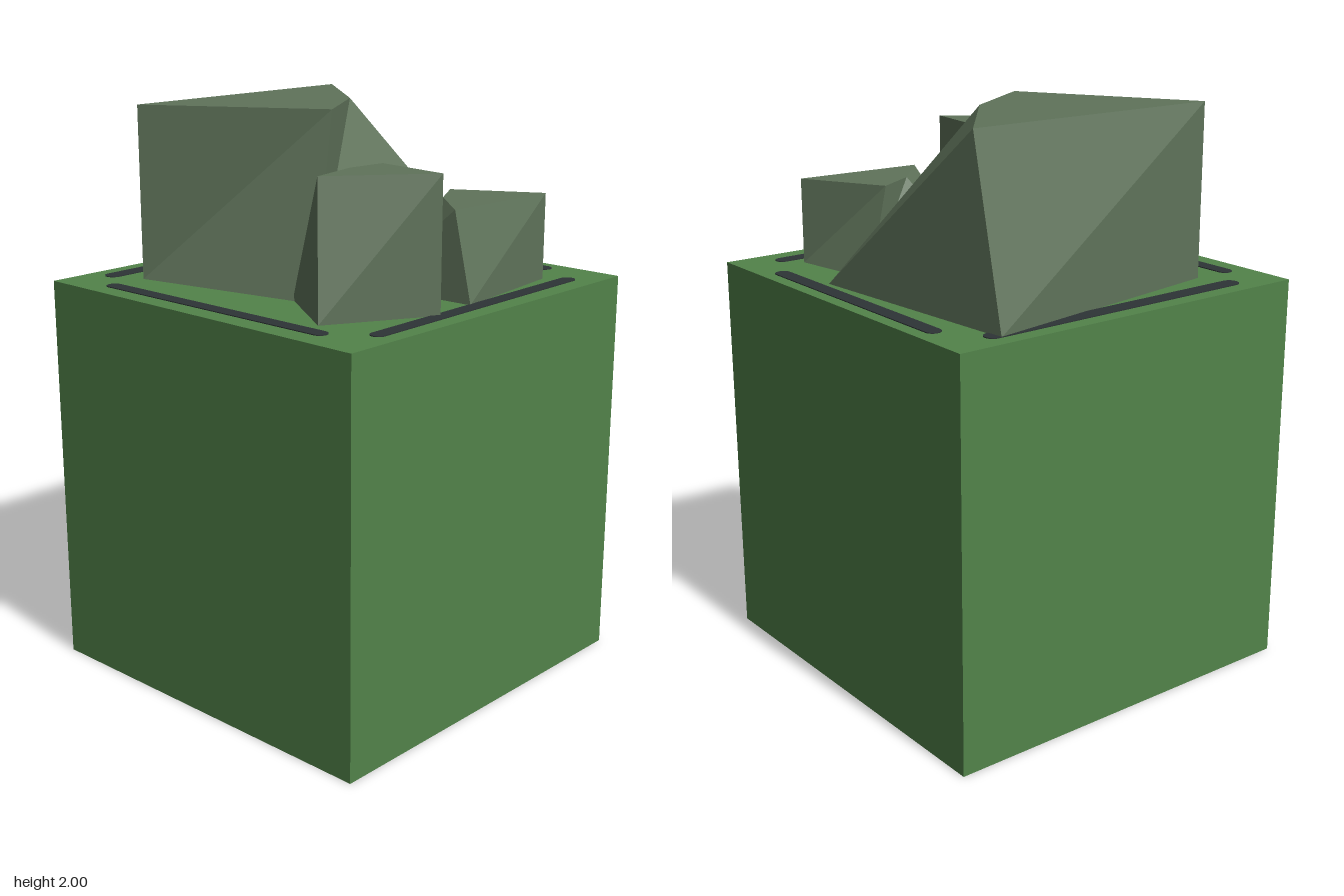
import * as THREE from 'three';

const green = new THREE.MeshStandardMaterial({ color: 0x52834a, side: THREE.DoubleSide });
green.name = 'grass green';
const stone = new THREE.MeshStandardMaterial({ color: 0x5f735a, flatShading: true });
stone.name = 'mossy stone';
const charcoal = new THREE.MeshStandardMaterial({ color: 0x2e3436 });
charcoal.name = 'charcoal';

const TOP = 1.4;

// Rock corners, measured from its one vertical corner: four on the top, four on the ground
const crown = [[0.02, -0.94], [0, 0], [0.575, -0.345], [0.39, -0.635]];
const foot = [[-0.15, -0.965], [0, 0], [0.69, -0.135], [0.705, -1.035]];

function rockGeometry(height) {
  const top = crown.map(([x, z]) => [x, height, z]);
  const base = foot.map(([x, z]) => [x, 0, z]);
  const tris = [top[0], top[1], top[2], top[0], top[2], top[3]];
  for (let i = 0; i < 4; i++) {
    const j = (i + 1) % 4;
    // the twisted back wall is split along its other diagonal
    if (i === 3) tris.push(base[i], base[j], top[j], base[i], top[j], top[i]);
    else tris.push(base[i], base[j], top[j], base[i], top[j], top[i]);
  }
  const g = new THREE.BufferGeometry();
  g.setAttribute('position', new THREE.Float32BufferAttribute(tris.flat(), 3));
  g.computeVertexNormals();
  return g;
}

function rock(name, x, z, scale, height, degrees) {
  const mesh = new THREE.Mesh(rockGeometry(height), stone);
  mesh.name = name;
  mesh.position.set(x, TOP, z);
  mesh.scale.set(scale, 1, scale);
  mesh.rotation.y = -THREE.MathUtils.degToRad(degrees);
  return mesh;
}

// Thin round-ended stripe from one point to another on the top face
function stripe(name, x1, z1, x2, z2, width) {
  const r = width / 2;
  const half = Math.hypot(x2 - x1, z2 - z1) / 2 - r;
  const shape = new THREE.Shape();
  shape.absarc(half, 0, r, -Math.PI / 2, Math.PI / 2, false);
  shape.absarc(-half, 0, r, Math.PI / 2, Math.PI * 1.5, false);
  const g = new THREE.ExtrudeGeometry(shape, { depth: 0.003, bevelEnabled: false, curveSegments: 6 });
  g.rotateX(-Math.PI / 2);
  const mesh = new THREE.Mesh(g, charcoal);
  mesh.name = name;
  mesh.position.set((x1 + x2) / 2, TOP, (z1 + z2) / 2);
  mesh.rotation.y = -Math.atan2(z2 - z1, x2 - x1);
  return mesh;
}

export function createModel() {
  const model = new THREE.Group();
  model.name = 'rockBlock';

  // Hollow block, open underneath (the bottom face is dropped)
  const box = new THREE.BoxGeometry(1.39, TOP, 1.39);
  const index = Array.from(box.index.array);
  index.splice(18, 6);
  box.setIndex(index);
  box.clearGroups();
  const block = new THREE.Mesh(box, green);
  block.name = 'block';
  block.position.y = TOP / 2;
  model.add(block);

  // Three rocks of one shape, turned and scaled
  model.add(
    rock('largeRock', -0.49, 0.465, 1, 0.6, 0),
    rock('lowRock', 0.525, -0.48, 0.494, 0.3, 181.9),
    rock('mediumRock', 0.6, 0.172, 0.415, 0.45, 217.8),
  );

  // Border stripes along the four edges
  model.add(
    stripe('backStripe', -0.485, -0.622, 0.457, -0.622, 0.055),
    stripe('frontStripe', -0.505, 0.604, 0.5, 0.592, 0.053),
    stripe('rightStripe', -0.61, -0.54, -0.608, 0.53, 0.06),
    stripe('leftStripe', 0.599, -0.55, 0.613, 0.51, 0.053),
  );
  return model;
}
